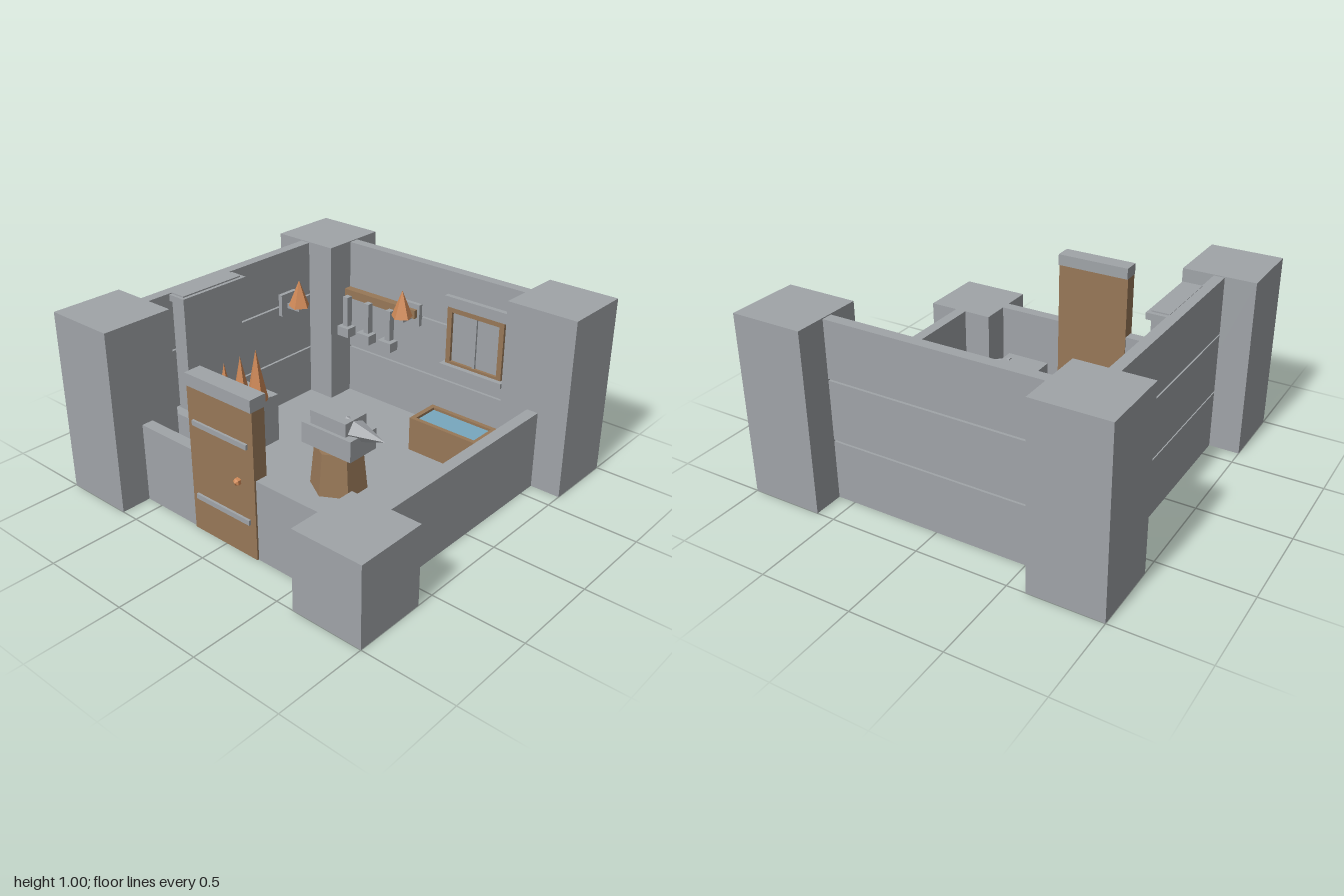
import * as THREE from 'three';

export function createModel() {
  const model = new THREE.Group();
  model.name = 'smithyRoom';
  const material = (name, color) => {
    const m = new THREE.MeshStandardMaterial({ color });
    m.name = name;
    return m;
  };
  const stone = material('greyStone', 0xa0a4a8);
  const wood = material('brownWood', 0x987858);
  const flame = material('orangeFlame', 0xd08a58);
  const water = material('blueWater', 0x78a8be);

  const add = (name, geometry, mat, parent = model) => {
    const mesh = new THREE.Mesh(geometry, mat);
    mesh.name = name;
    parent.add(mesh);
    return mesh;
  };
  // Box given by its limits on each axis
  const box = (name, mat, [x0, x1], [y0, y1], [z0, z1], parent) => {
    const g = new THREE.BoxGeometry(x1 - x0, y1 - y0, z1 - z0);
    g.translate((x0 + x1) / 2, (y0 + y1) / 2, (z0 + z1) / 2);
    return add(name, g, mat, parent);
  };
  // Cylinder or cone with flat sides
  const prism = (rTop, rBottom, height, sides) =>
    new THREE.CylinderGeometry(rTop, rBottom, height, sides).toNonIndexed();
  const flat = (g) => { g.computeVertexNormals(); return g; };
  const cone = (name, mat, r, y0, y1, x, z, parent) => {
    const g = flat(prism(0, r, y1 - y0, 5));
    g.translate(x, (y0 + y1) / 2, z);
    return add(name, g, mat, parent);
  };

  // Floor and corner pillars, the front left one cut low
  box('floor', stone, [-0.8, 0.8], [0, 0.04], [-0.8, 0.8]);
  for (const sx of [-1, 1]) for (const sz of [-1, 1]) {
    const h = sx > 0 && sz > 0 ? 0.44 : 1;
    box('cornerPillar', stone, [sx * 0.8 - 0.2, sx * 0.8 + 0.2], [0, h], [sz * 0.8 - 0.2, sz * 0.8 + 0.2]);
  }

  // Tall walls of three courses with narrow gaps, and low walls
  for (const course of [[0, 0.33], [0.34, 0.67], [0.68, 0.995]]) {
    box('backWallCourse', stone, [-0.6, 0.6], course, [-0.83, -0.77]);
    box('sideWallCourse', stone, [-0.83, -0.77], course, [-0.6, 0.6]);
  }
  box('lowFrontWall', stone, [-0.6, 0.6], [0, 0.44], [0.765, 0.83]);
  box('lowSideWall', stone, [0.765, 0.83], [0, 0.44], [-0.6, 0.6]);

  // Door with lintel, straps and knob
  const door = new THREE.Group();
  door.name = 'door';
  model.add(door);
  box('doorPanel', wood, [-0.22, 0.215], [0.002, 0.8], [0.76, 0.84], door);
  box('doorLintel', stone, [-0.22, 0.215], [0.8, 0.865], [0.75, 0.848], door);
  for (const y of [0.19, 0.6])
    box('doorStrap', stone, [-0.185, 0.18], [y, y + 0.027], [0.835, 0.853], door);
  const knob = new THREE.SphereGeometry(0.023, 5, 3).rotateX(Math.PI / 2).toNonIndexed();
  add('doorKnob', flat(knob), flame, door).position.set(0.11, 0.405, 0.847);

  // Window on the back wall
  const win = new THREE.Group();
  win.name = 'window';
  model.add(win);
  for (const x of [0.13, 0.47])
    box('windowJamb', wood, [x, x + 0.03], [0.46, 0.8], [-0.775, -0.745], win);
  for (const y of [0.46, 0.77])
    box('windowRail', wood, [0.16, 0.47], [y, y + (y > 0.6 ? 0.03 : 0.015)], [-0.775, -0.745], win);
  box('windowPane', stone, [0.16, 0.47], [0.475, 0.77], [-0.775, -0.762], win);
  box('windowMullion', stone, [0.307, 0.323], [0.475, 0.77], [-0.77, -0.75], win);
  box('windowLintel', stone, [0.11, 0.52], [0.8, 0.86], [-0.775, -0.74], win);
  box('windowSill', stone, [0.11, 0.52], [0.43, 0.46], [-0.775, -0.715], win);

  // Tool rack with three hanging hammers
  box('toolRackBar', wood, [-0.6, -0.08], [0.67, 0.72], [-0.775, -0.722]);
  for (const x of [-0.563, -0.403, -0.243]) {
    box('hammerHandle', stone, [x - 0.018, x + 0.018], [0.5, 0.685], [-0.722, -0.683]);
    box('hammerHead', stone, [x - 0.047, x + 0.047], [0.445, 0.502], [-0.722, -0.655]);
  }

  // Wall torches, built facing +z with the wall at z = 0
  for (const [x, z, turn] of [[-0.125, -0.77, 0], [-0.77, -0.4, Math.PI / 2]]) {
    const torch = new THREE.Group();
    torch.name = 'wallTorch';
    torch.position.set(x, 0, z);
    torch.rotation.y = turn;
    box('torchPlate', stone, [-0.062, 0.062], [0.62, 0.75], [-0.005, 0.025], torch);
    box('torchArm', stone, [-0.016, 0.016], [0.66, 0.69], [0.02, 0.115], torch);
    cone('torchFlame', flame, 0.063, 0.69, 0.848, 0, 0.105, torch);
    model.add(torch);
  }

  // Forge hearth with hood and flames
  box('hearth', stone, [-0.775, -0.48], [0.03, 0.33], [-0.02, 0.5]);
  box('fireGrate', stone, [-0.585, -0.46], [0.29, 0.35], [0.05, 0.43]);
  box('forgeHood', stone, [-0.775, -0.68], [0.32, 0.997], [0.04, 0.44]);
  box('forgeMantel', stone, [-0.775, -0.66], [0.955, 0.99], [0.017, 0.457]);
  for (const z of [0.12, 0.235, 0.35])
    cone('forgeFlame', flame, 0.064, 0.34, 0.645, -0.5, z);

  // Water trough
  const trough = new THREE.Group();
  trough.name = 'waterTrough';
  model.add(trough);
  for (const x of [0.14, 0.552])
    box('troughEnd', wood, [x, x + 0.028], [0.03, 0.24], [-0.63, -0.42], trough);
  for (const z of [-0.63, -0.445])
    box('troughSide', wood, [0.168, 0.552], [0.03, 0.24], [z, z + 0.025], trough);
  box('troughWater', water, [0.168, 0.552], [0.04, 0.225], [-0.605, -0.445], trough);

  // Anvil on a six-sided stump
  const anvil = new THREE.Group();
  anvil.name = 'anvil';
  model.add(anvil);
  add('stump', flat(prism(0.13, 0.157, 0.26, 6)), wood, anvil).position.set(0.093, 0.15, 0.117);
  box('anvilBody', stone, [-0.075, 0.26], [0.28, 0.4], [0.015, 0.218], anvil);
  box('anvilFace', stone, [-0.03, 0.21], [0.4, 0.475], [0.035, 0.198], anvil);
  const horn = prism(0, 0.078, 0.235, 5).rotateZ(-Math.PI / 2);
  add('anvilHorn', flat(horn), stone, anvil).position.set(0.283, 0.41, 0.117);

  return model;
}
